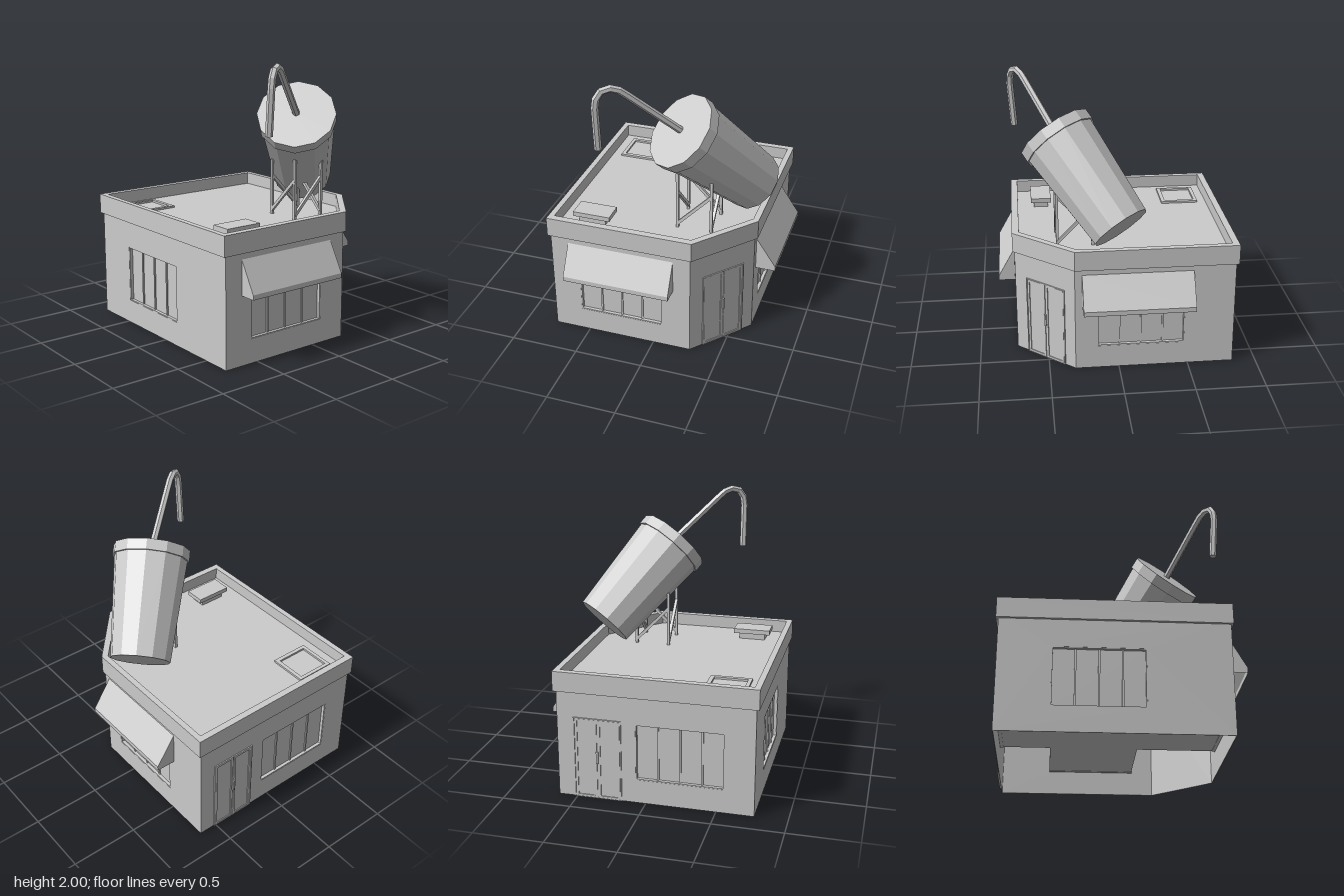
import * as THREE from 'three';

const grey = new THREE.MeshStandardMaterial({ color: 0xcccccc, flatShading: true });
const thin = new THREE.MeshStandardMaterial({ color: 0xcccccc, flatShading: true, side: THREE.DoubleSide });

function add(parent, name, geometry, material = grey, x = 0, y = 0, z = 0) {
  const mesh = new THREE.Mesh(geometry, material);
  mesh.name = name;
  mesh.position.set(x, y, z);
  parent.add(mesh);
  return mesh;
}

const box = (parent, name, w, h, d, x, y, z) =>
  add(parent, name, new THREE.BoxGeometry(w, h, d), grey, x, y, z);

// Rectangle outline in the xy plane
const rect = (x0, y0, x1, y1) => [[x0, y0], [x1, y0], [x1, y1], [x0, y1]].map(p => new THREE.Vector2(...p));

function extrude(outline, holes, depth) {
  const shape = new THREE.Shape(outline);
  holes.forEach(h => shape.holes.push(new THREE.Path(h)));
  return new THREE.ExtrudeGeometry(shape, { depth, bevelEnabled: false });
}

// Horizontal slab from [x, z] points, rising from y = 0
const plan = points => points.map(([x, z]) => new THREE.Vector2(x, -z));
const slab = (points, holes, height) =>
  extrude(plan(points), holes.map(plan), height).rotateX(-Math.PI / 2);

// Square bar between two points
function bar(parent, name, a, b, size) {
  const from = new THREE.Vector3(...a), to = new THREE.Vector3(...b);
  const mesh = box(parent, name, size, size, from.distanceTo(to), 0, 0, 0);
  mesh.position.copy(from).lerp(to, 0.5);
  mesh.lookAt(to);
}

const WIN = { w: 0.625, y0: 0.175, y1: 0.59 };
const WIN_MID = (WIN.y0 + WIN.y1) / 2, WIN_TALL = WIN.y1 - WIN.y0;
const WALL = 0.006, RECESS = 0.03;

function addWindow(wall, u) {
  const g = new THREE.Group();
  g.name = 'window';
  g.position.x = u;
  wall.add(g);
  const h = WIN.w / 2, t = 0.007, e = 0.003;
  add(g, 'windowFrame', extrude(rect(-h - e, WIN.y0 - e, h + e, WIN.y1 + e),
    [rect(-h + t, WIN.y0 + t, h - t, WIN.y1 - t)], RECESS - 0.002), grey, 0, 0, -RECESS);
  for (let i = -1; i <= 1; i++)
    box(g, 'mullion', 0.013, WIN_TALL, 0.016, i * WIN.w / 4, WIN_MID, -RECESS + 0.006);
}

function addDoor(wall, u) {
  const g = new THREE.Group();
  g.name = 'doubleDoor';
  g.position.x = u;
  wall.add(g);
  add(g, 'doorFrame', extrude(rect(-0.173, 0, 0.173, 0.603), [rect(-0.165, 0.005, 0.165, 0.597)], 0.008));
  for (const s of [-1, 1]) {
    const c = s * 0.083;
    add(g, 'doorLeaf', extrude(rect(c - 0.079, 0.005, c + 0.079, 0.595),
      [rect(c - 0.062, 0.02, c + 0.062, 0.58)], 0.006));
  }
  box(g, 'doorHandle', 0.016, 0.09, 0.016, 0, 0.315, 0.008);
}

// Sloping sheet with a lip and closed ends, open below
function addAwning(wall, u, out) {
  const w = 0.395, top = 0.745, low = 0.53, base = 0.495;
  const p = [
    [-w, top, 0], [w, top, 0], [-w, low, out], [w, low, out], [-w, base, out], [w, base, out],
    [-w, base, 0], [w, base, 0]];
  const geo = new THREE.BufferGeometry();
  geo.setAttribute('position', new THREE.Float32BufferAttribute(p.flat(), 3));
  geo.setIndex([0, 2, 3, 0, 3, 1, 2, 4, 5, 2, 5, 3, 0, 6, 4, 0, 4, 2, 1, 3, 5, 1, 5, 7]);
  const flat = geo.toNonIndexed();
  flat.computeVertexNormals();
  add(wall, 'awning', flat, thin, u, 0, 0.002);
}

export function createModel() {
  const model = new THREE.Group();
  model.name = 'cornerShop';

  // Walls, going round from the front; u is the distance along each wall
  const corners = [[-0.767, 0.724], [0.28, 0.724], [0.637, 0.313], [0.637, -0.831], [-0.767, -0.831]];
  const walls = [
    { name: 'frontWall', window: 0.524, awning: 0.527, out: 0.12 },
    { name: 'cornerWall', door: 0.28 },
    { name: 'leftWall', window: 0.472, awning: 0.447, out: 0.145 },
    { name: 'backWall', window: 0.88, door: 0.292 },
    { name: 'rightWall', window: 0.672 }];
  walls.forEach((w, i) => {
    const [x, z] = corners[i], [x2, z2] = corners[(i + 1) % 5];
    const g = new THREE.Group();
    g.name = w.name;
    g.position.set(x, 0, z);
    g.rotation.y = Math.atan2(z - z2, x2 - x);
    model.add(g);
    const holes = w.window ? [rect(w.window - WIN.w / 2, WIN.y0, w.window + WIN.w / 2, WIN.y1)] : [];
    add(g, 'wallPanel', extrude(rect(0, 0, Math.hypot(x2 - x, z2 - z), 0.83), holes, WALL), grey, 0, 0, -WALL);
    if (w.window) addWindow(g, w.window);
    if (w.door) addDoor(g, w.door);
    if (w.awning) addAwning(g, w.awning, w.out);
  });

  // Glass blocks running through the shop between opposite windows
  const gap = 2 * RECESS - 0.01;
  box(model, 'glassFrontToBack', WIN.w, WIN_TALL, 1.555 - gap, -0.243, WIN_MID, -0.0535);
  box(model, 'glassSideToSide', 1.404 - gap, WIN_TALL, WIN.w, -0.065, WIN_MID, -0.159);

  // Parapet and roof
  const outer = [[-0.787, 0.738], [0.293, 0.738], [0.658, 0.313], [0.658, -0.847], [-0.787, -0.847]];
  const inner = [[-0.745, 0.687], [0.275, 0.687], [0.615, 0.292], [0.615, -0.798], [-0.745, -0.798]];
  add(model, 'parapet', slab(outer, [inner], 0.145), grey, 0, 0.787, 0);
  add(model, 'roof', slab(inner, [], 0.02), grey, 0, 0.82, 0);

  // Roof hatch and vent unit
  const square = (x0, z0, x1, z1) => [[x0, z1], [x1, z1], [x1, z0], [x0, z0]];
  add(model, 'hatchFrame', slab(square(-0.672, -0.732, -0.375, -0.445),
    [square(-0.645, -0.705, -0.405, -0.475)], 0.02), grey, 0, 0.835, 0);
  box(model, 'ventBase', 0.2, 0.05, 0.11, -0.508, 0.865, 0.507);
  box(model, 'ventTop', 0.278, 0.035, 0.155, -0.508, 0.905, 0.507);

  // Trestle under the cup, one diagonal on each side
  const stand = new THREE.Group();
  stand.name = 'cupStand';
  model.add(stand);
  const feet = [[0.09, 0.415, 1.28], [0.34, 0.415, 1.25], [0.34, 0.16, 1.12], [0.09, 0.16, 1.25]];
  feet.forEach(([x, z, top], i) => {
    const [x2, z2] = feet[(i + 1) % 4];
    bar(stand, 'standLeg', [x, 0.83, z], [x, top, z], 0.02);
    bar(stand, 'standBrace', [x, 0.87, z], [x2, 1.13, z2], 0.022);
  });

  // Tilted giant cup with lid
  const lidCentre = new THREE.Vector3(0.106, 1.61, 0.405);
  const baseCentre = new THREE.Vector3(0.543, 1.052, -0.02);
  const length = lidCentre.distanceTo(baseCentre);
  const cup = new THREE.Group();
  cup.name = 'giantCup';
  cup.position.copy(baseCentre);
  cup.quaternion.setFromUnitVectors(new THREE.Vector3(0, 1, 0),
    lidCentre.clone().sub(baseCentre).normalize());
  model.add(cup);
  const turn = Math.PI / 12;
  add(cup, 'cupBody', new THREE.CylinderGeometry(0.273, 0.218, length - 0.03, 12).rotateY(turn),
    grey, 0, (length - 0.03) / 2, 0);
  add(cup, 'cupLid', new THREE.CylinderGeometry(0.283, 0.283, 0.08, 12).rotateY(turn), grey, 0, length - 0.04, 0);

  // Bent straw
  const v = (x, y, z) => new THREE.Vector3(x, y, z);
  const bendStart = v(-0.22, 1.943, 0.617), bendEnd = v(-0.38, 1.84, 0.712), tip = v(-0.38, 1.53, 0.69);
  const path = new THREE.CurvePath();
  path.add(new THREE.LineCurve3(v(0.13, 1.59, 0.387), bendStart));
  path.add(new THREE.CubicBezierCurve3(bendStart, v(-0.275, 2.0, 0.655), v(-0.38, 2.005, 0.718), bendEnd));
  path.add(new THREE.LineCurve3(bendEnd, tip));
  add(model, 'straw', new THREE.TubeGeometry(path, 18, 0.026, 6), thin);
  add(model, 'strawTip', new THREE.CircleGeometry(0.025, 6).rotateX(Math.PI / 2), thin, tip.x, tip.y, tip.z);

  return model;
}
